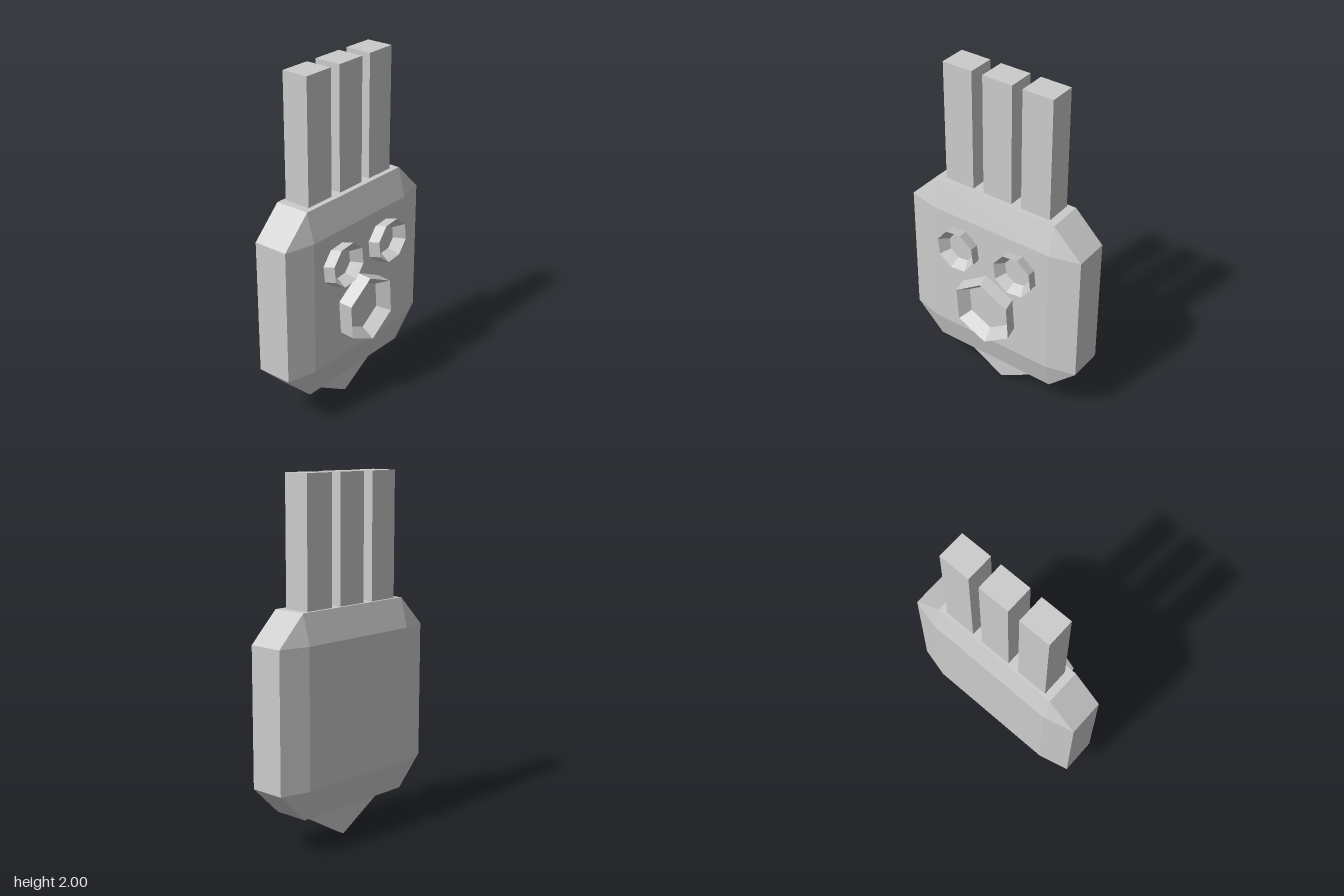
import * as THREE from 'three';
import { ConvexGeometry } from 'three/addons/geometries/ConvexGeometry.js';

const material = new THREE.MeshStandardMaterial({ color: 0xcccccc, flatShading: true });

function addMesh(parent, name, geometry, x = 0, y = 0, z = 0) {
  const mesh = new THREE.Mesh(geometry, material);
  mesh.name = name;
  mesh.position.set(x, y, z);
  parent.add(mesh);
  return mesh;
}

// Block with every edge and corner cut off: each corner becomes a triangle.
function chamferedBlock(outer, inner) {
  const points = [];
  for (const sx of [-1, 1]) for (const sy of [-1, 1]) for (const sz of [-1, 1]) {
    for (const axis of ['x', 'y', 'z']) {
      const p = inner.clone();
      p[axis] = outer[axis];
      points.push(p.multiply(new THREE.Vector3(sx, sy, sz)));
    }
  }
  return new ConvexGeometry(points);
}

// Raised cup with a sharp lip and a sloping recess; the lip is shifted sideways.
function cup({ sides, radius, innerRadius, depth, turn, lipShift }) {
  const floor = 0.014;
  const profile = [[radius, 0], [radius, depth], [innerRadius, floor], [0, floor]]
    .map(([r, h]) => new THREE.Vector2(r, h));
  const geometry = new THREE.LatheGeometry(profile, sides, turn + Math.PI / 2, Math.PI * 2);
  geometry.rotateX(Math.PI / 2);
  const pos = geometry.attributes.position;
  for (let i = 0; i < pos.count; i++) {
    const z = pos.getZ(i);
    const k = z > 0.001 && z < depth - 0.001 ? 0.7 : z / depth;
    pos.setX(i, pos.getX(i) + lipShift[0] * k);
    pos.setY(i, pos.getY(i) + lipShift[1] * k);
  }
  return geometry.toNonIndexed();
}

export function createModel() {
  const model = new THREE.Group();
  model.name = 'blockHead';
  model.rotation.y = -0.033;

  // Head
  addMesh(model, 'head', chamferedBlock(
    new THREE.Vector3(0.555, 0.552, 0.145),
    new THREE.Vector3(0.384, 0.385, 0.102)), 0, 0.747, -0.033);

  // Three upright hair bars
  for (const x of [-0.247, 0.002, 0.246]) {
    addMesh(model, 'hairBar', new THREE.BoxGeometry(0.182, 0.72, 0.157), x, 1.64, -0.04);
  }

  // Eyes
  const eye = {
    sides: 8, radius: 0.125, innerRadius: 0.085, depth: 0.073,
    turn: THREE.MathUtils.degToRad(74), lipShift: [0.012, 0.016],
  };
  addMesh(model, 'rightEye', cup(eye), -0.192, 0.936, 0.105);
  addMesh(model, 'leftEye', cup(eye), 0.185, 0.936, 0.105);

  // Mouth
  addMesh(model, 'mouth', cup({
    sides: 6, radius: 0.197, innerRadius: 0.147, depth: 0.082,
    turn: THREE.MathUtils.degToRad(94), lipShift: [0.012, -0.015],
  }), -0.008, 0.622, 0.105);

  // Pointed chin
  const outline = new THREE.Shape([[0, 0], [0.345, 0.2], [-0.345, 0.2]]
    .map(([x, y]) => new THREE.Vector2(x, y)));
  addMesh(model, 'chin',
    new THREE.ExtrudeGeometry(outline, { depth: 0.056, bevelEnabled: false }), 0, 0, -0.056);

  const group = new THREE.Group();
  group.add(model);
  return group;
}
